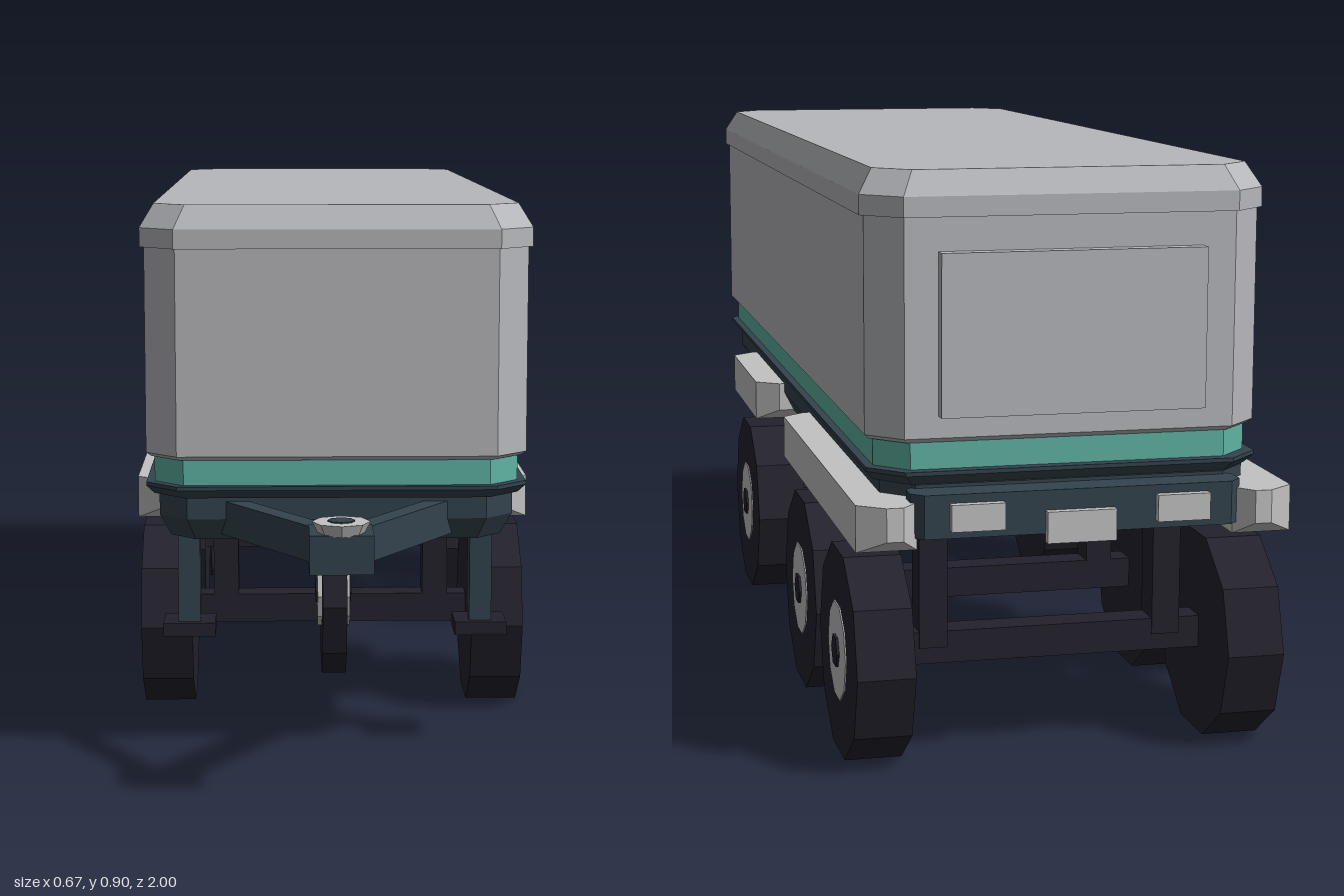
import * as THREE from 'three';

const material = (name, color) => Object.assign(new THREE.MeshStandardMaterial({ color }), { name });

// Faceted normals for any geometry
function flat(geometry) {
  const g = geometry.index ? geometry.toNonIndexed() : geometry;
  g.computeVertexNormals();
  return g;
}

// Joins equal-sized convex rings and caps both ends; rings run counter-clockwise about the stacking direction
function loft(rings) {
  const n = rings[0].length;
  const index = [];
  for (let r = 0; r < rings.length - 1; r++) {
    for (let i = 0; i < n; i++) {
      const a = r * n + i, b = r * n + (i + 1) % n;
      index.push(a, b, b + n, a, b + n, a + n);
    }
  }
  const top = (rings.length - 1) * n;
  for (let i = 1; i < n - 1; i++) {
    index.push(0, i + 1, i, top, top + i, top + i + 1);
  }
  const g = new THREE.BufferGeometry();
  g.setAttribute('position', new THREE.Float32BufferAttribute(rings.flat(2), 3));
  g.setIndex(index);
  return flat(g);
}

// Level rectangle with cut corners
function plan(y, hx, front, back, c) {
  return [
    [hx, y, front - c], [hx, y, back + c], [hx - c, y, back], [c - hx, y, back],
    [-hx, y, back + c], [-hx, y, front - c], [c - hx, y, front], [hx - c, y, front],
  ];
}

// Upright rectangle across z
const section = (z, x0, x1, y0, y1) => [[x0, y0, z], [x1, y0, z], [x1, y1, z], [x0, y1, z]];

export function createModel() {
  const model = new THREE.Group();
  model.name = 'trailer';
  const shell = material('shell grey', 0xb6b7bb);
  const light = material('light grey', 0xc2c2c2);
  const teal = material('teal', 0x5fb3a3);
  const slate = material('slate', 0x33434d);
  const black = material('tyre black', 0x23222d);

  function add(name, geometry, mat, parent = model) {
    const mesh = new THREE.Mesh(geometry, mat);
    mesh.name = name;
    parent.add(mesh);
    return mesh;
  }
  // Box given by its extents
  function box(name, mat, x0, x1, y0, y1, z0, z1) {
    const mesh = add(name, new THREE.BoxGeometry(x1 - x0, y1 - y0, z1 - z0), mat);
    mesh.position.set((x0 + x1) / 2, (y0 + y1) / 2, (z0 + z1) / 2);
    return mesh;
  }
  // Faceted disc with its axis along x
  function disc(name, mat, radius, width, sides, x, parent) {
    const g = flat(new THREE.CylinderGeometry(radius, radius, width, sides));
    g.rotateZ(Math.PI / 2);
    const mesh = add(name, g, mat, parent);
    mesh.position.x = x;
    return mesh;
  }

  // Cargo body with overhanging roof, band and chassis
  add('cargoBody', loft([
    plan(0.5, 0.292, 0.712, -0.922, 0.048),
    plan(0.507, 0.3, 0.722, -0.93, 0.05),
    plan(0.83, 0.3, 0.722, -0.93, 0.05),
  ]), shell);
  add('roof', loft([
    plan(0.83, 0.307, 0.727, -0.936, 0.055),
    plan(0.86, 0.307, 0.727, -0.936, 0.055),
    plan(0.897, 0.285, 0.705, -0.914, 0.05),
  ]), shell);
  box('rearDoor', shell, -0.2, 0.2, 0.54, 0.78, -0.953, -0.93);
  add('tealBand', loft([
    plan(0.46, 0.287, 0.71, -0.922, 0.047),
    plan(0.5, 0.287, 0.71, -0.922, 0.047),
  ]), teal);
  add('deck', loft([
    plan(0.44, 0.288, 0.71, -0.93, 0.05),
    plan(0.454, 0.3, 0.722, -0.94, 0.05),
    plan(0.46, 0.3, 0.722, -0.94, 0.05),
  ]), slate);
  add('chassis', loft([
    plan(0.37, 0.262, 0.685, -0.92, 0.04),
    plan(0.405, 0.28, 0.702, -0.935, 0.045),
    plan(0.44, 0.28, 0.702, -0.935, 0.045),
  ]), slate);

  // Rear bumper and lamps
  add('rearBumper', loft([
    plan(0.37, 0.25, -0.92, -0.985, 0.018),
    plan(0.435, 0.25, -0.92, -0.985, 0.018),
  ]), slate);
  box('middleRearLamp', light, -0.052, 0.052, 0.358, 0.405, -0.998, -0.983);
  for (const x of [-0.155, 0.155]) {
    box('sideRearLamp', light, x - 0.04, x + 0.04, 0.382, 0.422, -0.998, -0.983);
  }

  // Mudguards, tapered at both ends
  for (const side of [-1, 1]) {
    for (const [z0, z1] of [[-0.998, -0.244], [0.05, 0.43]]) {
      const ring = (z, inner, outer, bottom) =>
        section(z, Math.min(side * inner, side * outer), Math.max(side * inner, side * outer), bottom, 0.422);
      add('mudguard', loft([
        ring(z0, 0.265, 0.29, 0.372), ring(z0 + 0.03, 0.24, 0.33, 0.352),
        ring(z1 - 0.03, 0.24, 0.33, 0.352), ring(z1, 0.265, 0.29, 0.372),
      ]), light);
    }
  }

  // Axles with struts and wheels
  for (const z of [0.235, -0.432, -0.8]) {
    box('axle', black, -0.26, 0.26, 0.135, 0.185, z - 0.025, z + 0.025);
    for (const side of [-1, 1]) {
      const x = side * 0.185;
      box('axleStrut', black, x - 0.022, x + 0.022, 0.16, 0.385, z - 0.027, z + 0.027);
      const wheel = new THREE.Group();
      wheel.name = 'wheel';
      wheel.position.set(side * 0.284, 0.158, z);
      model.add(wheel);
      disc('tyre', black, 0.166, 0.088, 10, 0, wheel);
      disc('rim', light, 0.077, 0.004, 10, side * 0.044, wheel);
      disc('hubCap', black, 0.026, 0.012, 6, side * 0.044, wheel);
    }
  }

  // Small wheel under the nose
  const spare = new THREE.Group();
  spare.name = 'noseWheel';
  spare.position.set(0, 0.237, 0.457);
  model.add(spare);
  disc('noseTyre', black, 0.14, 0.04, 10, 0, spare);
  disc('noseRim', light, 0.06, 0.054, 10, 0, spare);
  disc('noseHub', black, 0.022, 0.06, 6, 0, spare);

  // Landing legs
  for (const x of [-0.237, 0.237]) {
    box('landingLeg', slate, x - 0.018, x + 0.018, 0.205, 0.39, 0.545, 0.59);
    box('landingFoot', black, x - 0.042, x + 0.042, 0.192, 0.214, 0.528, 0.602);
  }

  // Drawbar and coupling
  for (const side of [-1, 1]) {
    const from = new THREE.Vector3(side * 0.175, 0.406, 0.67);
    const to = new THREE.Vector3(side * 0.012, 0.406, 0.93);
    const bar = add('drawbar', new THREE.BoxGeometry(0.032, 0.054, from.distanceTo(to)), slate);
    bar.position.lerpVectors(from, to, 0.5);
    bar.rotation.y = Math.atan2(to.x - from.x, to.z - from.z);
  }
  box('coupler', slate, -0.047, 0.047, 0.376, 0.434, 0.895, 0.985);
  const cap = add('couplerCap', flat(new THREE.CylinderGeometry(0.043, 0.034, 0.018, 8)), light);
  cap.position.set(0, 0.441, 0.956);
  const eye = add('couplerEye', flat(new THREE.CylinderGeometry(0.02, 0.02, 0.004, 8)), slate);
  eye.position.set(0, 0.45, 0.956);

  return model;
}
